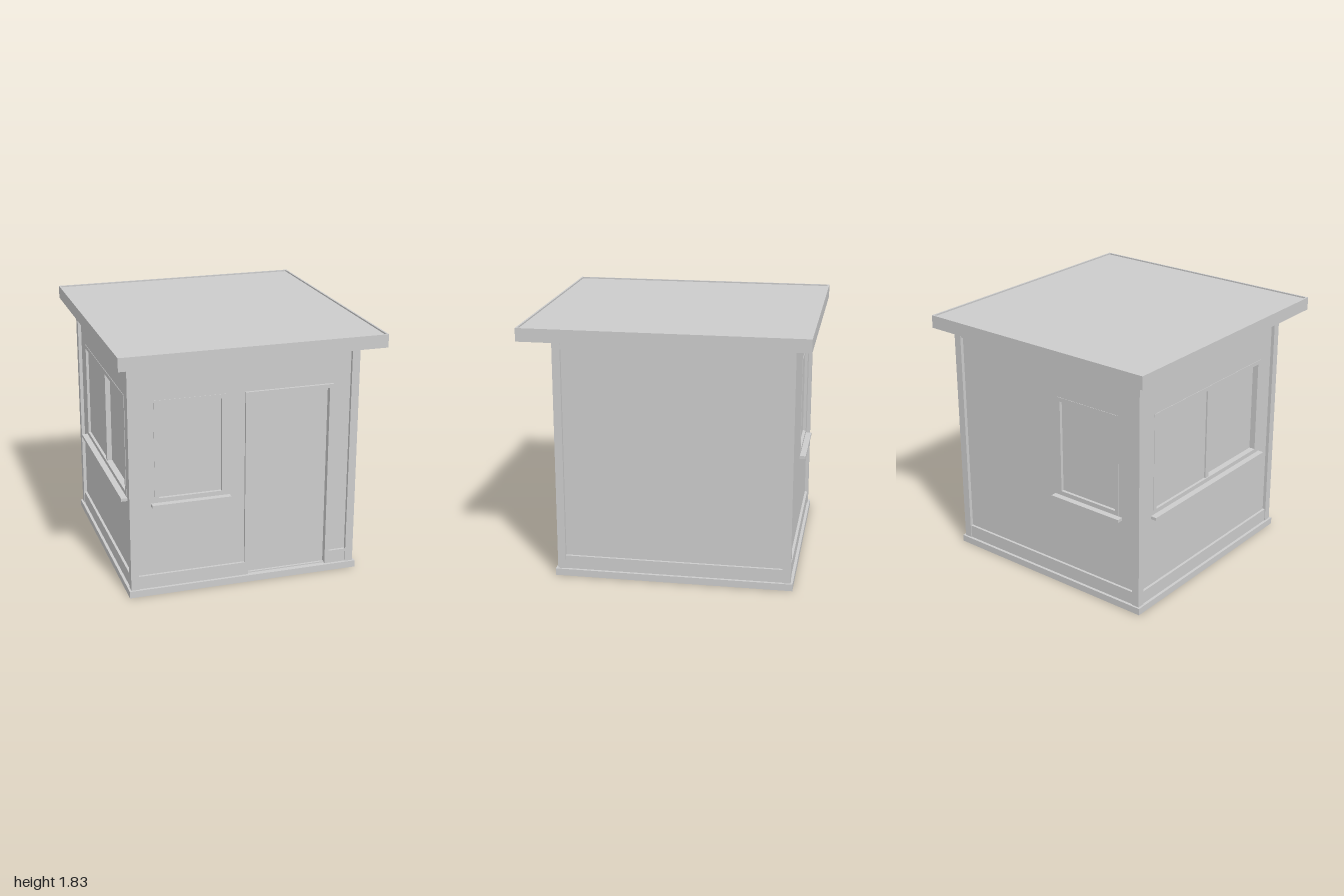
import * as THREE from 'three';

const HALF = 0.835;     // half width of the square cabin body
const REVEAL = 0.025;   // depth of the wall panels behind the posts
const RAIL = -0.006;    // rails sit just behind the face of the posts
const FLOOR = 0.05, EAVES = 1.77;
const PANEL = { u: 0.778, y0: 0.147, y1: 1.665 };

const grey = new THREE.MeshStandardMaterial({ color: 0xcccccc });
grey.name = 'grey';

// Box given by its lower and upper limits on each axis
function box(parent, name, x0, x1, y0, y1, z0, z1) {
  const mesh = new THREE.Mesh(new THREE.BoxGeometry(x1 - x0, y1 - y0, z1 - z0), grey);
  mesh.position.set((x0 + x1) / 2, (y0 + y1) / 2, (z0 + z1) / 2);
  mesh.name = name;
  parent.add(mesh);
}

// Thin rectangular rim of four boards, t thick
function rim(parent, name, hx, hz, y0, y1, t) {
  box(parent, name, -hx, -hx + t, y0, y1, -hz, hz);
  box(parent, name, hx - t, hx, y0, y1, -hz, hz);
  box(parent, name, -hx + t, hx - t, y0, y1, -hz, -hz + t);
  box(parent, name, -hx + t, hx - t, y0, y1, hz - t, hz);
}

function trace(path, [x0, x1, y0, y1]) {
  path.moveTo(x0, y0);
  path.lineTo(x1, y0);
  path.lineTo(x1, y1);
  path.lineTo(x0, y1);
  path.closePath();
  return path;
}

// Flat plate with rectangular holes, from z0 to z1
function plate(parent, name, outer, holes, z0, z1) {
  const shape = trace(new THREE.Shape(), outer);
  for (const h of holes) shape.holes.push(trace(new THREE.Path(), h));
  const mesh = new THREE.Mesh(
    new THREE.ExtrudeGeometry(shape, { depth: z1 - z0, bevelEnabled: false }), grey);
  mesh.position.z = z0;
  mesh.name = name;
  parent.add(mesh);
}

// Framed window with a projecting sill; a sliding one has two staggered panes
function addWindow(wall, [u0, u1, y0, y1], sliding) {
  const f = 0.03, face = -REVEAL + 0.003;
  plate(wall, 'windowFrame', [u0 - f, u1 + f, y0 - f, y1 + f], [[u0, u1, y0, y1]], -0.075, face);
  box(wall, 'windowSill', u0 - 0.058, u1 + 0.058, 0.664, 0.686, -0.05, 0.02);
  if (sliding) {
    const m = (u0 + u1) / 2;
    box(wall, 'frontPane', u0, m, y0, y1, -0.07, face - 0.02);
    box(wall, 'rearPane', m, u1, y0, y1, -0.075, face - 0.045);
    box(wall, 'mullion', m - 0.018, m + 0.018, y0, y1, -0.07, face - 0.008);
  } else {
    box(wall, 'windowPane', u0, u1, y0, y1, -0.07, face - 0.022);
  }
}

// Door set back in a frame that is flush with the rails
function addDoor(wall, [u0, u1, y0, y1]) {
  const f = 0.028;
  box(wall, 'doorJamb', u0 - f, u0, FLOOR, y1 + f, -0.07, RAIL);
  box(wall, 'doorJamb', u1, u1 + f, FLOOR, y1 + f, -0.07, RAIL);
  box(wall, 'doorHead', u0, u1, y1, y1 + f, -0.07, RAIL);
  box(wall, 'doorBacking', u0, u1, FLOOR, y1, -0.08, -0.05);
  box(wall, 'door', u0 + 0.003, u1 - 0.003, y0, y1 - 0.003, -0.06, -0.042);
}

// One wall, built facing +z: recessed panel, two posts, top and bottom rails
function makeWall(name, angle, { window: win, sliding, door, corner }) {
  const wall = new THREE.Group();
  wall.name = name;
  const { u, y0, y1 } = PANEL;
  const edge = HALF - REVEAL;
  const end = corner ? HALF : edge;
  const holes = [win, door].filter(Boolean);
  plate(wall, 'wallPanel', [-edge, edge, FLOOR - 0.005, EAVES], holes, -0.08, -REVEAL);

  box(wall, 'post', -end, -u, FLOOR, EAVES, -REVEAL, 0);
  box(wall, 'post', u, end, FLOOR, EAVES, -REVEAL, 0);
  box(wall, 'topRail', -u, u, y1, EAVES, -REVEAL, RAIL);
  if (door) {
    box(wall, 'bottomRail', -u, door[0], FLOOR, y0, -REVEAL, RAIL);
    box(wall, 'bottomRail', door[1], u, FLOOR, y0, -REVEAL, RAIL);
    addDoor(wall, door);
  } else {
    box(wall, 'bottomRail', -u, u, FLOOR, y0, -REVEAL, RAIL);
  }
  if (win) addWindow(wall, win, sliding);

  wall.rotation.y = angle;
  wall.position.set(Math.sin(angle) * HALF, 0, Math.cos(angle) * HALF);
  return wall;
}

export function createModel() {
  const model = new THREE.Group();
  model.name = 'cabin';

  // Body, set a little back under the roof, its floor raised inside a thin skirting
  const body = new THREE.Group();
  body.name = 'body';
  body.position.z = -0.056;
  rim(body, 'skirting', 0.85, 0.85, 0, FLOOR, 0.015);
  box(body, 'floor', -0.835, 0.835, 0.038, FLOOR, -0.835, 0.835);
  body.add(
    makeWall('frontWall', 0, {
      corner: true, window: [-0.619, -0.165, 0.72, 1.402], door: [0.03, 0.619, 0.058, 1.404],
    }),
    makeWall('backWall', Math.PI, { corner: true, window: [0.13, 0.612, 0.72, 1.402] }),
    makeWall('leftWall', Math.PI / 2, {}),
    makeWall('rightWall', -Math.PI / 2, { window: [-0.613, 0.613, 0.72, 1.402], sliding: true }),
  );
  model.add(body);

  // Roof slab with a thin fascia standing above and below it
  const roof = new THREE.Group();
  roof.name = 'roof';
  const t = 0.013, low = 1.734, high = 1.828;
  box(roof, 'roofSlab', -0.94 + t, 0.94 - t, low + 0.024, high - 0.01, -1 + t, 1 - t);
  rim(roof, 'fascia', 0.94, 1, low, high, t);
  model.add(roof);
  return model;
}
